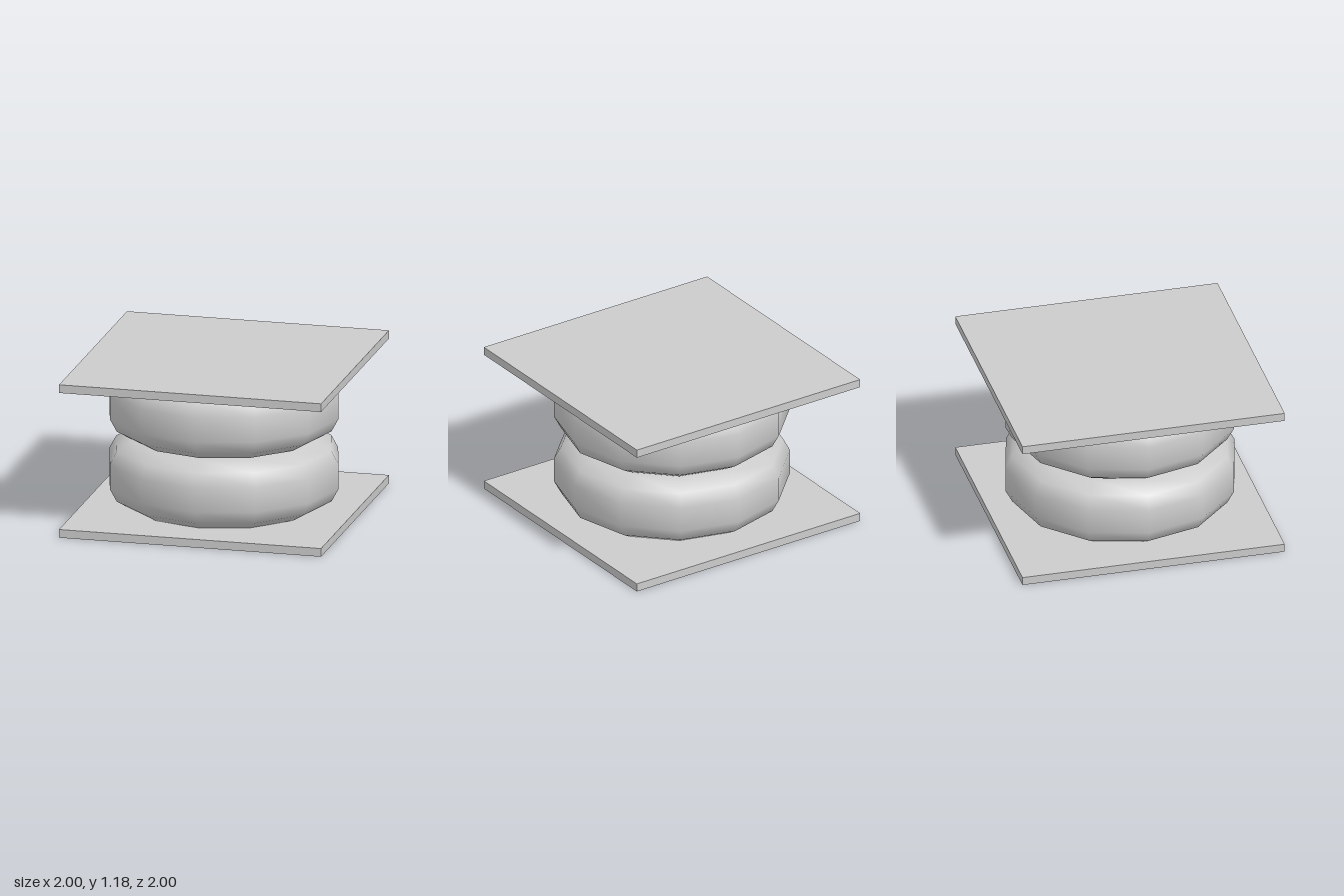
import * as THREE from 'three';

const PLATE = 0.063; // plate thickness
const HEIGHT = 1.177;
const SIDES = 12;

export function createModel() {
  const group = new THREE.Group();
  const material = new THREE.MeshStandardMaterial({ color: 0xcccccc });
  const rubber = new THREE.MeshStandardMaterial({ color: 0xcccccc, side: THREE.DoubleSide });

  // Square end plates
  const plateGeometry = new THREE.BoxGeometry(2, PLATE, 2);
  for (const [name, y] of [['bottomPlate', PLATE / 2], ['topPlate', HEIGHT - PLATE / 2]]) {
    const plate = new THREE.Mesh(plateGeometry, material);
    plate.name = name;
    plate.position.y = y;
    group.add(plate);
  }

  // Bulging bellows rings: half profile as [radius, height above ring centre], mirrored
  const half = [[0.875, 0.094], [0.822, 0.193], [0.71, 0.26], [0.6, 0.268]];
  const profile = [
    ...half.map(([r, h]) => new THREE.Vector2(r, -h)).reverse(),
    ...half.map(([r, h]) => new THREE.Vector2(r, h)),
  ];
  const ringGeometry = new THREE.LatheGeometry(profile, SIDES);
  for (const [name, y] of [['lowerBellowsRing', 0.325], ['upperBellowsRing', 0.864]]) {
    const ring = new THREE.Mesh(ringGeometry, rubber);
    ring.name = name;
    ring.position.y = y;
    group.add(ring);
  }

  // Narrow neck closing the gap between the two rings
  const neck = new THREE.Mesh(new THREE.CylinderGeometry(0.6, 0.6, 0.03, SIDES, 1, true), rubber);
  neck.name = 'neck';
  neck.position.y = 0.5945;
  group.add(neck);

  return group;
}
